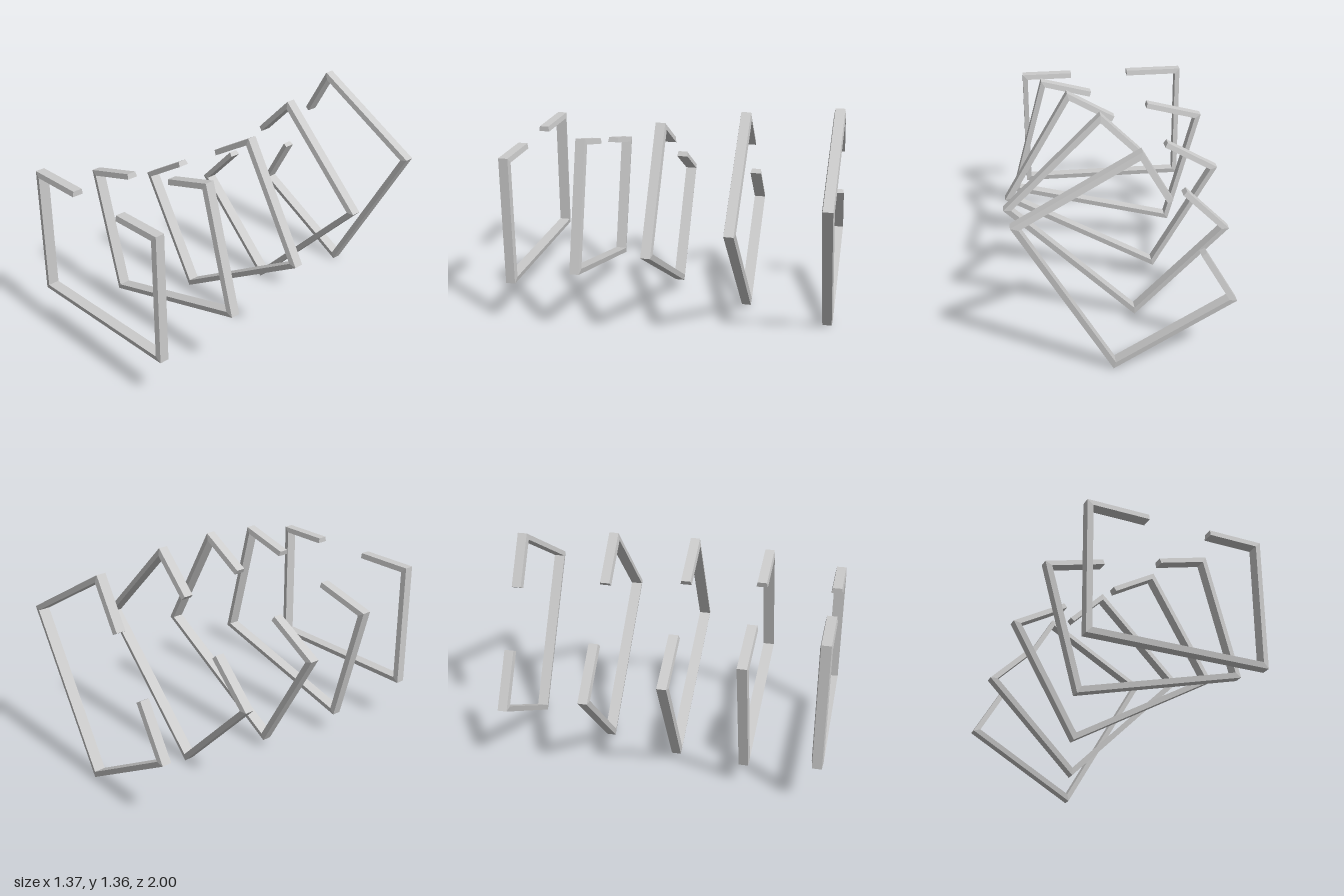
import * as THREE from 'three';

const HALF_W = 0.55, HALF_H = 0.404, BAR = 0.033;
const OUTER_Z = 0.029, INNER_Z = 0.035; // bar is slightly narrower on its outer face

// Open rectangular frame: a tapered bar section swept around mitred corners
function frameGeometry() {
  const w = HALF_W, h = HALF_H, t = BAR;
  // each station: outer x, y and inner x, y
  const stations = [
    [-0.175, h, -0.175, h - t],
    [-w, h, -w + t, h - t],
    [-w, -h, -w + t, -h + t],
    [w, -h, w - t, -h + t],
    [w, h, w - t, h - t],
    [0.215, h, 0.215, h - t],
  ];
  const rings = stations.map(([ox, oy, ix, iy]) => [
    [ox, oy, OUTER_Z], [ox, oy, -OUTER_Z], [ix, iy, -INNER_Z], [ix, iy, INNER_Z],
  ]);
  const pos = [];
  const quad = (a, b, c, d) => pos.push(...a, ...b, ...c, ...a, ...c, ...d);
  for (let i = 0; i < rings.length - 1; i++) {
    const p = rings[i], q = rings[i + 1];
    for (let k = 0; k < 4; k++) {
      const n = (k + 1) % 4;
      quad(p[k], p[n], q[n], q[k]);
    }
  }
  // end caps at the gap
  const first = rings[0], last = rings[rings.length - 1];
  quad(first[3], first[2], first[1], first[0]);
  quad(...last);
  const geo = new THREE.BufferGeometry();
  geo.setAttribute('position', new THREE.Float32BufferAttribute(pos, 3));
  geo.computeVertexNormals();
  return geo;
}

export function createModel() {
  const model = new THREE.Group();
  model.name = 'twistedFrames';
  const material = new THREE.MeshStandardMaterial({ color: 0xcccccc, flatShading: true });
  const geo = frameGeometry();

  // frames turn 15 degrees each about a shared axis, running front to back
  [0.965, 0.515, 0.06, -0.425, -0.965].forEach((z, i) => {
    const pivot = new THREE.Group();
    pivot.name = `framePivot${i + 1}`;
    pivot.position.set(-0.0125, 0.758, z);
    pivot.rotation.z = THREE.MathUtils.degToRad(15 * i);
    const frame = new THREE.Mesh(geo, material);
    frame.name = `openFrame${i + 1}`;
    frame.position.set(-0.0425, -0.0736, 0);
    pivot.add(frame);
    model.add(pivot);
  });
  return model;
}
